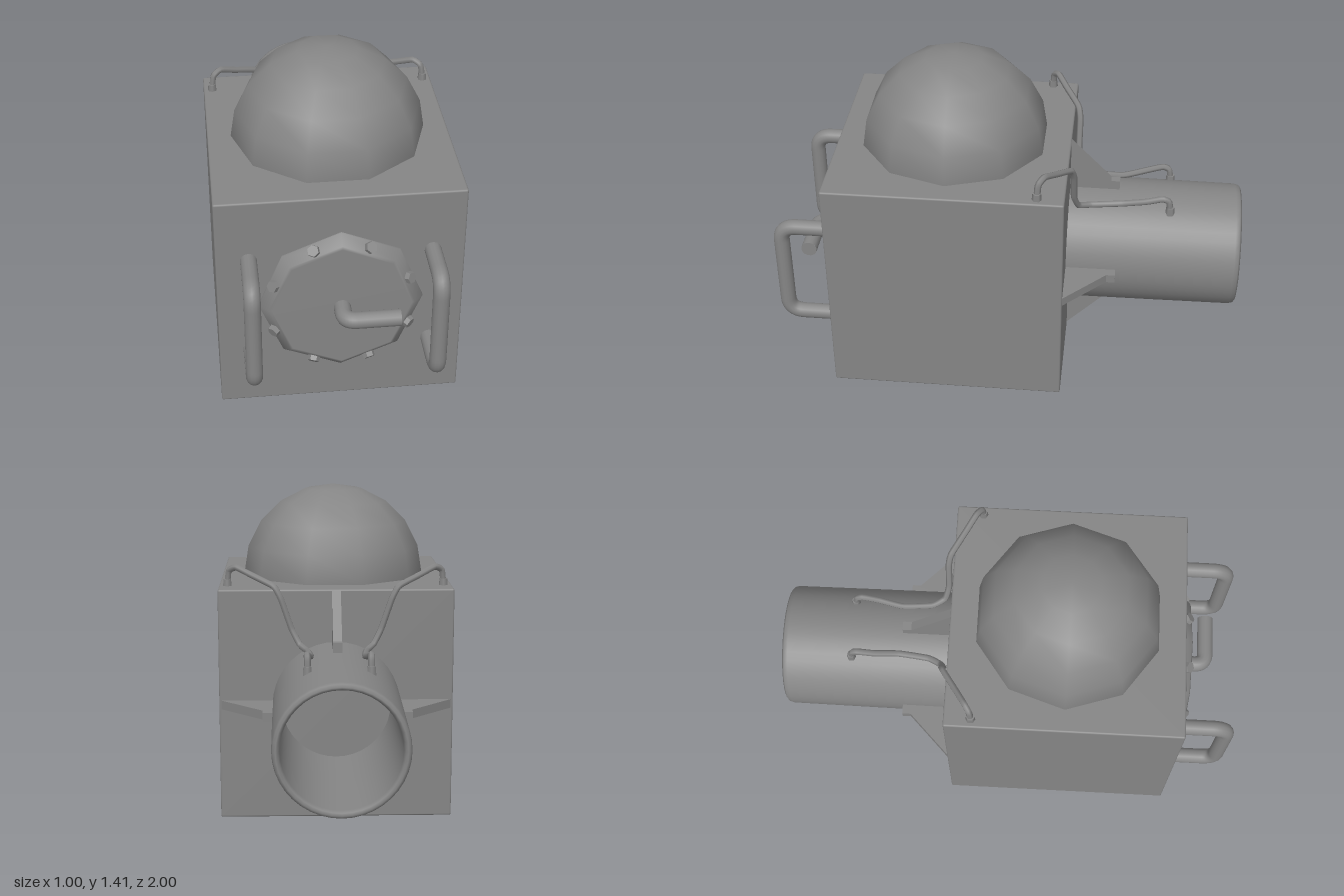
import * as THREE from 'three';
import { RoundedBoxGeometry } from 'three/addons/geometries/RoundedBoxGeometry.js';

const MID = 0.505; // height of the hatch and pipe axis
const V = (x, y, z) => new THREE.Vector3(x, y, z);
const metal = new THREE.MeshStandardMaterial({ color: 0x858585 });
const faceted = new THREE.MeshStandardMaterial({ color: 0x858585, flatShading: true });

export function createModel() {
  const model = new THREE.Group();

  const add = (name, geometry, material = metal) => {
    const mesh = new THREE.Mesh(geometry, material);
    mesh.name = name;
    model.add(mesh);
    return mesh;
  };
  // Straight runs joined by rounded corners
  const bentPath = (points, r) => {
    const path = new THREE.CurvePath();
    let last = points[0];
    for (let i = 1; i < points.length - 1; i++) {
      const p = points[i];
      const a = p.clone().add(points[i - 1].clone().sub(p).setLength(r));
      const b = p.clone().add(points[i + 1].clone().sub(p).setLength(r));
      path.add(new THREE.LineCurve3(last, a));
      path.add(new THREE.QuadraticBezierCurve3(a, p, b));
      last = b;
    }
    path.add(new THREE.LineCurve3(last, points[points.length - 1]));
    return path;
  };

  // Main housing
  add('body', new RoundedBoxGeometry(1.004, 1.004, 1.004, 2, 0.008)).position.set(0, 0.502, 0.25);

  // Dome on the roof
  const dome = add('dome', new THREE.SphereGeometry(0.405, 10, 5, 0, Math.PI * 2, 0, Math.PI / 2));
  dome.position.set(0, 1.002, 0.25);

  // Eight-sided hatch with a softly shaded bevelled rim
  const lid = add('hatch', new THREE.LatheGeometry(
    [[0.336, 0.74], [0.336, 0.76], [0.298, 0.798], [0.285, 0.803], [0, 0.803]]
      .map(p => new THREE.Vector2(...p)), 8));
  lid.rotation.x = Math.PI / 2;
  lid.position.y = MID;

  // Hex bolts standing on the bevel
  const boltGeometry = new THREE.CylinderGeometry(0.024, 0.027, 0.032, 6);
  for (let i = 0; i < 8; i++) {
    const a = (i + 0.5) * Math.PI / 4;
    const bolt = add('hatchBolt', boltGeometry, faceted);
    bolt.position.set(0.296 * Math.cos(a), MID + 0.296 * Math.sin(a), 0.783);
    bolt.quaternion.setFromUnitVectors(V(0, 1, 0), V(Math.cos(a), Math.sin(a), 1).normalize());
  }

  // Hatch lever, capped at its free end
  const lever = bentPath([V(0, MID, 0.78), V(0, MID, 0.893), V(0.225, MID, 0.893)], 0.05);
  add('hatchLever', new THREE.TubeGeometry(lever, 40, 0.035, 14));
  const cap = add('leverCap', new THREE.CircleGeometry(0.035, 14));
  cap.rotation.y = Math.PI / 2;
  cap.position.set(0.225, MID, 0.893);

  // Hollow rear pipe with a rounded lip
  const pipeProfile = [[0.273, 0.24], [0.271, 0.6], [0.268, 0.975], [0.263, 0.992], [0.252, 1],
    [0.242, 0.994], [0.236, 0.975], [0.234, 0.6], [0.234, 0.24]];
  const pipe = add('rearPipe', new THREE.LatheGeometry(pipeProfile.map(p => new THREE.Vector2(...p)), 40));
  pipe.rotation.x = -Math.PI / 2;
  pipe.position.y = MID;

  // Four gusset fins between housing and pipe
  const finShape = new THREE.Shape(
    [[0.252, 0.24], [0.495, 0.24], [0.495, 0.25], [0.312, 0.43], [0.312, 0.468], [0.252, 0.468]]
      .map(p => new THREE.Vector2(...p)));
  const finGeometry = new THREE.ExtrudeGeometry(finShape, { depth: 0.038, bevelEnabled: false });
  finGeometry.translate(0, 0, -0.019).rotateX(-Math.PI / 2);
  for (let i = 0; i < 4; i++) {
    const fin = add('gussetFin', finGeometry);
    fin.position.y = MID;
    fin.rotation.z = i * Math.PI / 2;
  }

  for (const s of [-1, 1]) {
    const side = s > 0 ? 'left' : 'right';

    // Grab handle on the front
    const grip = bentPath([V(s * 0.37, 0.729, 0.74), V(s * 0.37, 0.729, 0.966),
      V(s * 0.37, 0.276, 0.966), V(s * 0.37, 0.276, 0.74)], 0.07);
    add(side + 'Handle', new THREE.TubeGeometry(grip, 80, 0.034, 14));

    // Cable from the roof corner down to the pipe, with fairly tight bends
    const cable = new THREE.CatmullRomCurve3([
      [0.465, 1.01, -0.138], [0.457, 1.07, -0.143], [0.425, 1.087, -0.165], [0.36, 1.06, -0.205],
      [0.265, 1.02, -0.265], [0.235, 0.97, -0.276], [0.19, 0.84, -0.277], [0.155, 0.775, -0.295],
      [0.125, 0.76, -0.35], [0.112, 0.765, -0.48], [0.125, 0.79, -0.585],
      [0.128, 0.81, -0.655], [0.127, 0.797, -0.683], [0.127, 0.745, -0.69],
    ].map(([x, y, z]) => V(s * x, y, z)), false, 'catmullrom', 0.25);
    add(side + 'Cable', new THREE.TubeGeometry(cable, 90, 0.014, 6));

    // Fittings at both cable ends
    const fitting = new THREE.CylinderGeometry(0.018, 0.021, 0.035, 6);
    add(side + 'RoofFitting', fitting).position.set(s * 0.465, 1.016, -0.138);
    add(side + 'PipeFitting', fitting).position.set(s * 0.127, 0.752, -0.69);
  }

  return model;
}
